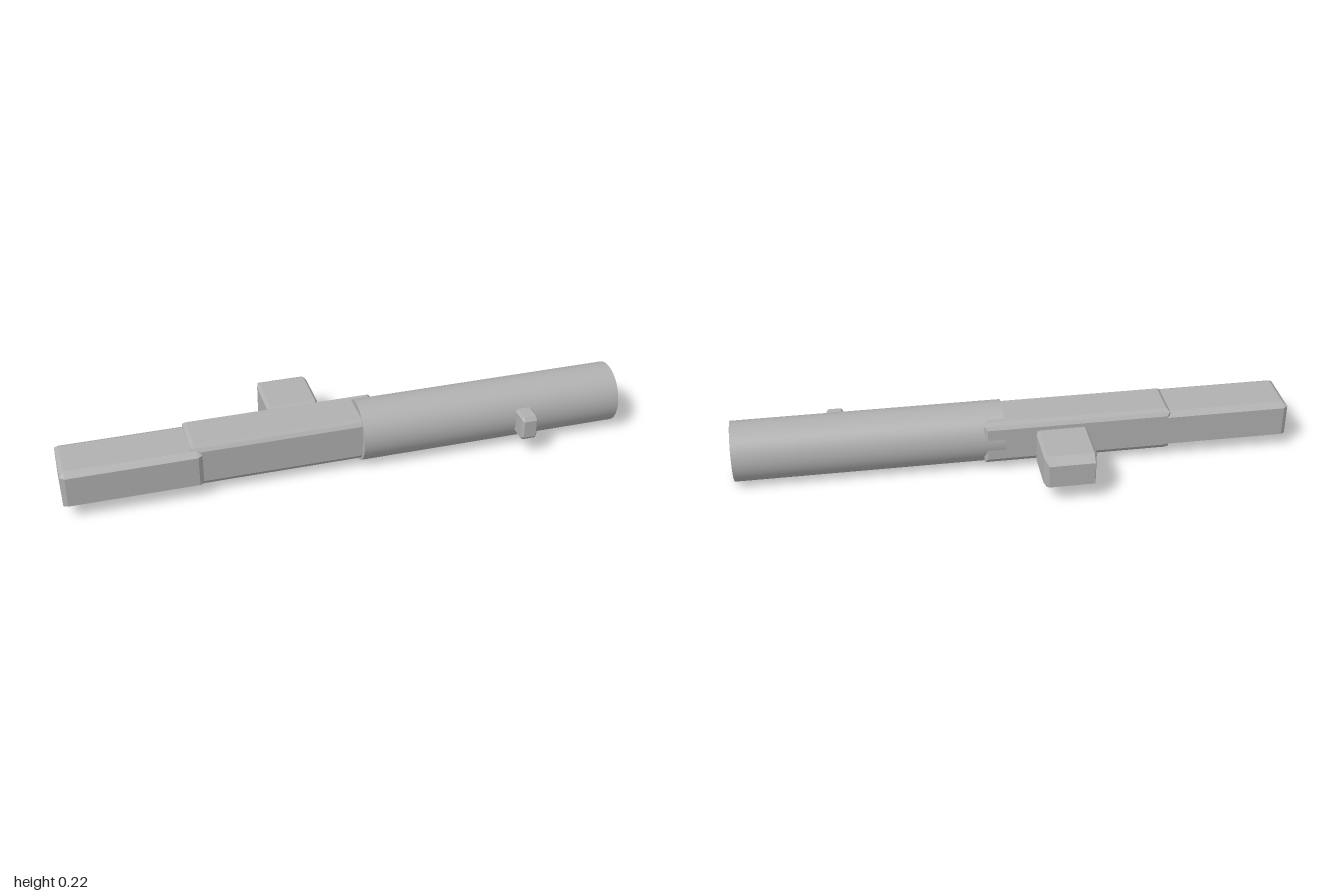
import * as THREE from 'three';
import { ConvexGeometry } from 'three/addons/geometries/ConvexGeometry.js';

const grey = new THREE.MeshStandardMaterial({ color: 0xb0b0b0 });
grey.name = 'plain grey';

// Box with chamfered edges. Each pair gives how far a face is inset along its two own axes:
// fx = [y, z] on the x faces, fy = [x, z] on the y faces, fz = [x, y] on the z faces.
function chamferBox(name, [x0, x1], [y0, y1], [z0, z1], fx, fy, fz) {
  const hx = (x1 - x0) / 2, hy = (y1 - y0) / 2, hz = (z1 - z0) / 2;
  const points = [];
  for (const sx of [-1, 1]) for (const sy of [-1, 1]) for (const sz of [-1, 1]) {
    points.push(
      new THREE.Vector3(sx * hx, sy * (hy - fx[0]), sz * (hz - fx[1])),
      new THREE.Vector3(sx * (hx - fy[0]), sy * hy, sz * (hz - fy[1])),
      new THREE.Vector3(sx * (hx - fz[0]), sy * (hy - fz[1]), sz * hz));
  }
  const mesh = new THREE.Mesh(new ConvexGeometry(points), grey);
  mesh.name = name;
  mesh.position.set((x0 + x1) / 2, (y0 + y1) / 2, (z0 + z1) / 2);
  return mesh;
}

export function createModel() {
  const group = new THREE.Group();
  group.name = 'tubeDevice';

  // Hollow tube along x
  const ring = new THREE.Shape().absarc(0, 0, 0.108, 0, Math.PI * 2);
  ring.holes.push(new THREE.Path().absarc(0, 0, 0.082, 0, Math.PI * 2, true));
  const tube = new THREE.Mesh(
    new THREE.ExtrudeGeometry(ring, { depth: 0.96, bevelEnabled: false, curveSegments: 64 }), grey);
  tube.name = 'tube';
  tube.rotation.y = Math.PI / 2;
  tube.position.set(0.04, 0.11, 0.084);
  group.add(tube);

  group.add(
    // Middle body, running a little way into the tube
    chamferBox('middleBody', [-0.56, 0.115], [0.028, 0.194], [-0.022, 0.161],
      [0.011, 0.009], [0.012, 0.021], [0.012, 0.023]),
    // Slimmer end body
    chamferBox('endBody', [-1, -0.525], [0.04, 0.178], [-0.022, 0.183],
      [0.012, 0.01], [0.015, 0.026], [0.015, 0.014]),
    // Block standing out at the back
    chamferBox('backBlock', [-0.25, -0.065], [0.048, 0.172], [-0.252, -0.012],
      [0.01, 0.045], [0.01, 0.036], [0.012, 0.02]),
    // Small tab on the front of the tube
    chamferBox('frontTab', [0.602, 0.662], [0.065, 0.157], [0.17, 0.252],
      [0.008, 0.012], [0.008, 0.012], [0.008, 0.014]));
  return group;
}
